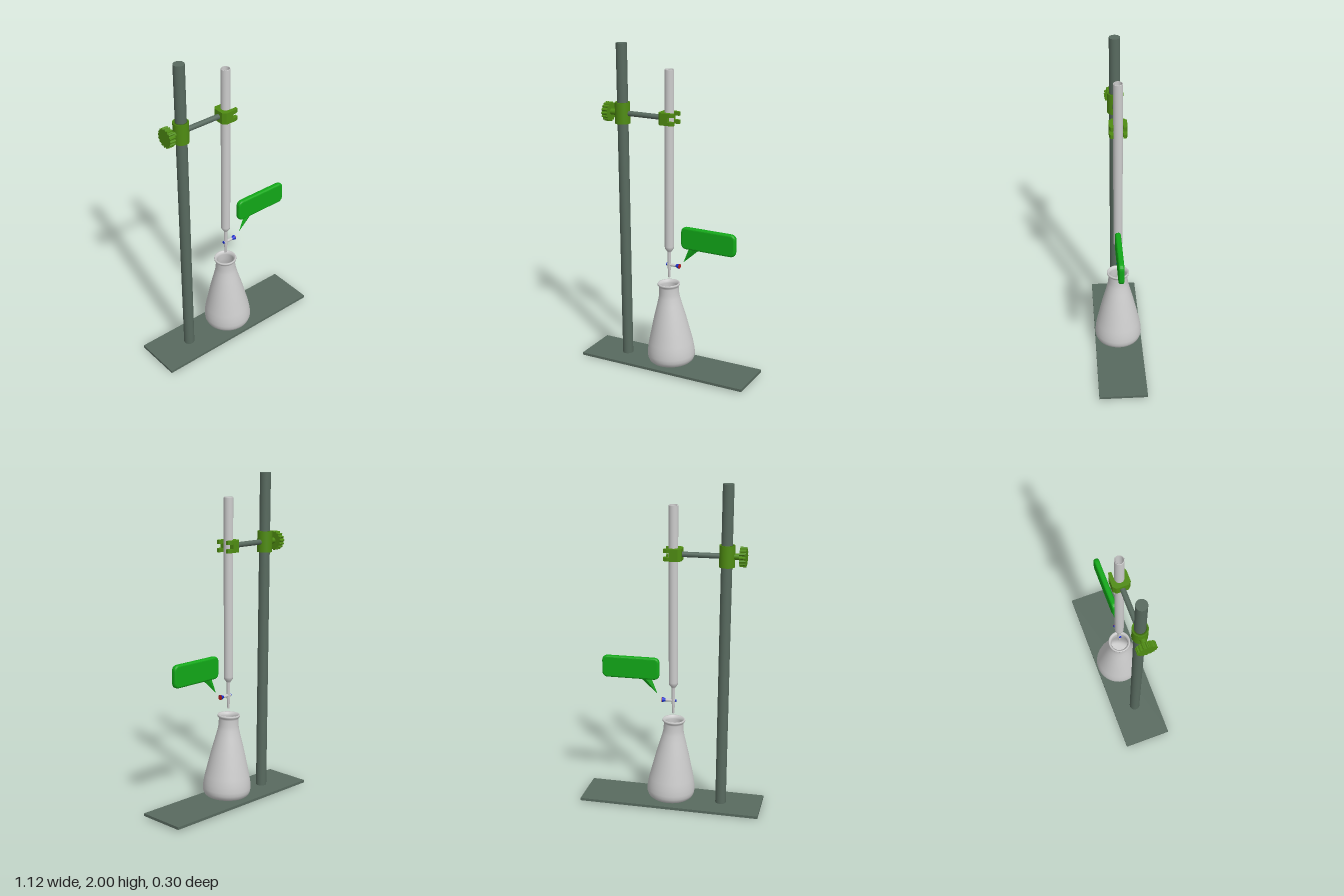
import * as THREE from 'three';

const Z = -0.566; // the whole stand sits in this depth plane
const TUBE_X = -0.009;

const mat = (color, side = THREE.FrontSide) => new THREE.MeshStandardMaterial({ color, side });
const steel = mat(0x586a5f), green = mat(0x4f8c12), sign = mat(0x12a818);
const glass = mat(0xcccccc, THREE.DoubleSide), blue = mat(0x1a2fd0), red = mat(0xb02020);

export function createModel() {
  const model = new THREE.Group();
  model.name = 'titrationStand';

  const add = (name, geometry, material, x, y, z = Z) => {
    const mesh = new THREE.Mesh(geometry, material);
    mesh.name = name;
    mesh.position.set(x, y, z);
    model.add(mesh);
    return mesh;
  };
  // Horizontal rod along x from x0 to x1, radius r0 at x0 and r1 at x1
  const barX = (name, x0, x1, y, r0, r1, material) =>
    add(name, new THREE.CylinderGeometry(r0, r1, x1 - x0, 24).rotateZ(Math.PI / 2), material, (x0 + x1) / 2, y);
  const lathe = (points) =>
    new THREE.LatheGeometry(points.map(([r, y]) => new THREE.Vector2(r, y)), 40);

  // Base plate and upright, both leaning very slightly
  add('basePlate', new THREE.BoxGeometry(1.116, 0.016, 0.298), steel, -0.003, 0.016).rotation.z = 0.01;
  add('uprightRod', new THREE.CylinderGeometry(0.033, 0.033, 1.983, 32), steel, -0.319, 1.0085).rotation.z = 0.009;

  // Boss: collar around the upright, with rims top and bottom
  add('collar', lathe([[0.032, -0.064], [0.046, -0.064], [0.046, -0.064], [0.046, 0.064],
    [0.046, 0.064], [0.032, 0.064], [0.032, -0.064]]), green, -0.326, 1.584).rotation.z = 0.009;
  barX('knobShaft', -0.41, -0.365, 1.583, 0.018, 0.018, green);

  // Serrated tightening knob
  const knobShape = new THREE.Shape();
  const teeth = 16;
  for (let i = 0; i < teeth * 4; i++) {
    const a = (i / (teeth * 4)) * Math.PI * 2;
    const r = i % 4 < 2 ? 0.059 : 0.052;
    knobShape[i ? 'lineTo' : 'moveTo'](r * Math.cos(a), r * Math.sin(a));
  }
  knobShape.closePath();
  const knobGeo = new THREE.ExtrudeGeometry(knobShape, { depth: 0.037, bevelEnabled: false });
  add('knob', knobGeo.rotateY(Math.PI / 2), green, -0.44, 1.583);

  barX('clampArm', -0.29, -0.055, 1.583, 0.016, 0.016, steel);

  // Clamp: C-shaped jaws in three layers, the middle one shorter to leave a notch
  const jaw = (name, reach, y0, y1) => {
    const s = new THREE.Shape();
    s.moveTo(reach, 0.028);
    s.lineTo(reach, 0.045);
    s.lineTo(Math.min(reach, 0.02), 0.053);
    s.lineTo(-0.045, 0.053);
    s.lineTo(-0.062, 0.035);
    s.lineTo(-0.062, -0.035);
    s.lineTo(-0.045, -0.053);
    s.lineTo(Math.min(reach, 0.02), -0.053);
    s.lineTo(reach, -0.045);
    s.lineTo(reach, -0.028);
    s.lineTo(TUBE_X, -0.028);
    s.absarc(TUBE_X, 0, 0.028, -Math.PI / 2, Math.PI / 2, true);
    s.closePath();
    const geo = new THREE.ExtrudeGeometry(s, { depth: y1 - y0, bevelEnabled: false, curveSegments: 16 });
    add(name, geo.rotateX(-Math.PI / 2), green, 0, y0);
  };
  jaw('lowerJaw', 0.042, 1.547, 1.57);
  jaw('middleJaw', 0.005, 1.57, 1.596);
  jaw('upperJaw', 0.042, 1.596, 1.619);

  // Burette: open tube narrowing to a fine tip
  add('burette', lathe([[0.004, 0.59], [0.007, 0.59], [0.009, 0.64], [0.011, 0.66], [0.011, 0.752],
    [0.016, 0.762], [0.027, 0.776], [0.028, 0.79], [0.028, 1.866], [0.026, 1.87], [0.022, 1.868],
    [0.022, 0.79], [0.006, 0.76], [0.004, 0.59]]), glass, TUBE_X, 0);

  // Tap across the burette, with a flared handle
  barX('tapBarrel', -0.022, 0.042, 0.672, 0.009, 0.009, glass);
  barX('tapEnd', -0.027, -0.02, 0.672, 0.008, 0.008, blue);
  // rotating about z puts the cylinder's top radius on the -x side
  barX('tapHandle', 0.036, 0.06, 0.672, 0.008, 0.016, blue);
  barX('tapCap', 0.06, 0.063, 0.672, 0.015, 0.015, red);

  // Conical flask: hollow, tilted a little
  const wall = [[0.125, 0], [0.138, 0.011], [0.146, 0.03], [0.148, 0.052], [0.145, 0.085], [0.138, 0.128],
    [0.1, 0.29], [0.077, 0.375], [0.066, 0.42], [0.062, 0.445], [0.06, 0.485], [0.062, 0.494],
    [0.069, 0.5], [0.07, 0.507], [0.067, 0.513]];
  const inner = wall.slice(0, -3).reverse().map(([r, y]) => [r - 0.008, y + 0.006]);
  const flask = lathe([[0, 0], [0.12, 0], ...wall, [0.06, 0.511], ...inner, [0, 0.008]]);
  add('flask', flask, glass, 0.008, 0.04).rotation.z = 0.04;

  // Speech-bubble sign: pillow-edged panel with a tapering tail
  const [x0, x1, y0, y1, c, b] = [0.092, 0.425, 0.808, 0.922, 0.022, 0.012];
  const panel = new THREE.Shape();
  panel.moveTo(x0 + c, y0);
  panel.lineTo(x1 - c, y0);
  panel.quadraticCurveTo(x1, y0, x1, y0 + c);
  panel.lineTo(x1, y1 - c);
  panel.quadraticCurveTo(x1, y1, x1 - c, y1);
  panel.lineTo(x0 + c, y1);
  panel.quadraticCurveTo(x0, y1, x0, y1 - c);
  panel.lineTo(x0, y0 + c);
  panel.quadraticCurveTo(x0, y0, x0 + c, y0);
  const panelGeo = new THREE.ExtrudeGeometry(panel, {
    depth: 0.01, bevelThickness: b, bevelSize: b, bevelSegments: 4, curveSegments: 6,
  });
  add('signPanel', panelGeo.translate(0, 0, -0.005), sign, 0, 0, -0.559);

  // Tail: four-sided cone, sheared so its tip points at the tap
  const tail = new THREE.CylinderGeometry(0.05, 0.002, 0.1, 4);
  const p = tail.attributes.position;
  for (let i = 0; i < p.count; i++) {
    const t = (p.getY(i) + 0.05) / 0.1;
    p.setXYZ(i, 0.095 + 0.075 * t + p.getX(i) * 0.75, 0.71 + 0.1 * t, p.getZ(i) * 0.28);
  }
  const tailGeo = tail.toNonIndexed();
  tailGeo.computeVertexNormals();
  add('signTail', tailGeo, sign, 0, 0, -0.559);

  return model;
}
